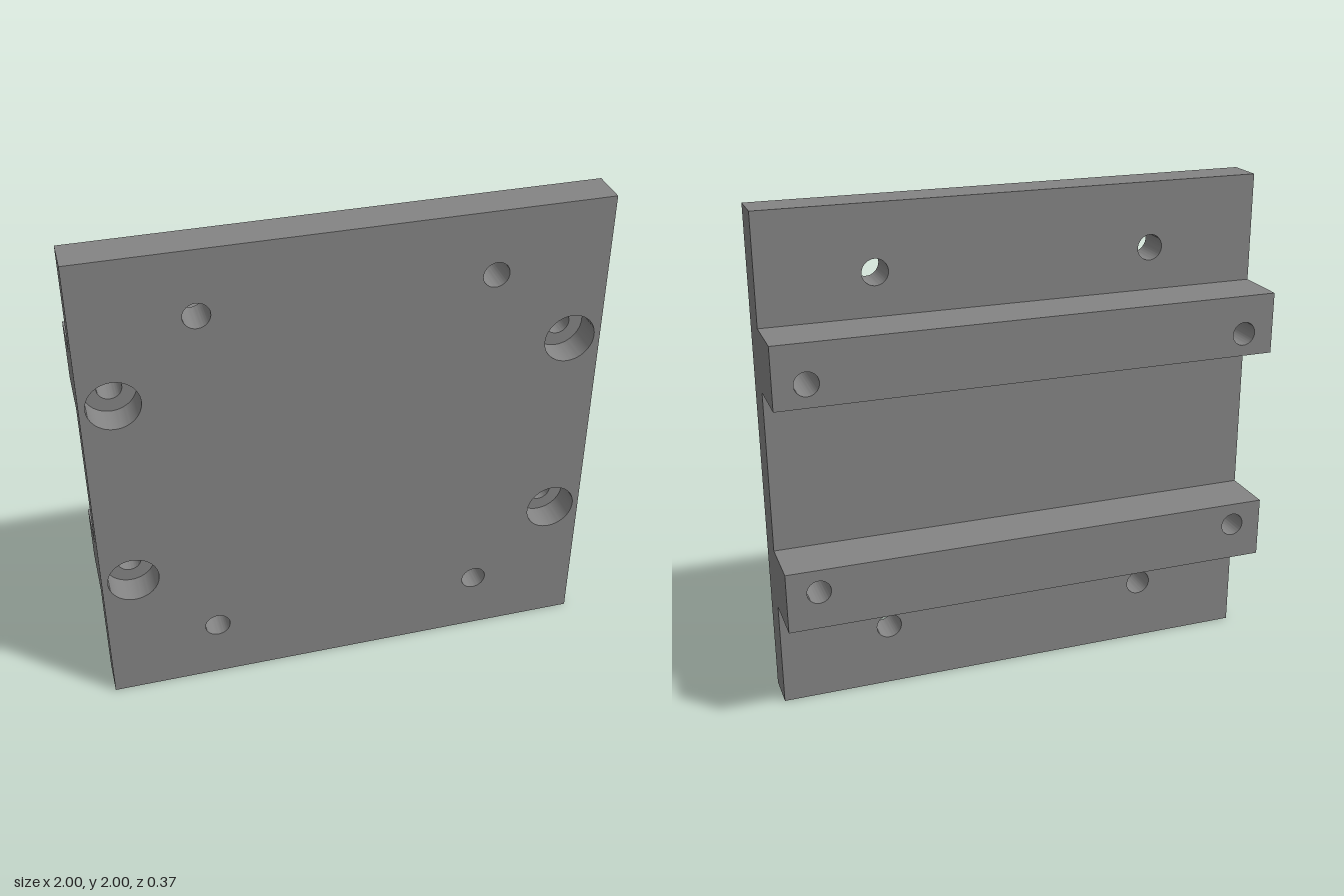
import * as THREE from 'three';
import { toCreasedNormals } from 'three/addons/utils/BufferGeometryUtils.js';

const material = new THREE.MeshStandardMaterial({ color: 0x848484 });

const PLAIN_X = 0.555, PLAIN_Y = [0.26, 1.74], PLAIN_R = 0.051;
const BOLT_X = 0.875, BOLT_Y = [0.583, 1.415], BOLT_R = 0.047, BORE_R = 0.101;
const BACK = -0.185, PLATE_BACK = 0.035, BORE_FLOOR = 0.065, FRONT = 0.185;

// Mirrored pairs of round holes at the given heights
function holePairs(x, heights, r) {
  return heights.flatMap((y) => [-x, x].map((cx) => ({ x: cx, y, r })));
}

// Full-width slab from y0 to y1 and z0 to z1, pierced by round holes
function slab(name, y0, y1, z0, z1, holes) {
  const shape = new THREE.Shape([
    new THREE.Vector2(-1, y0), new THREE.Vector2(1, y0),
    new THREE.Vector2(1, y1), new THREE.Vector2(-1, y1),
  ]);
  for (const h of holes) {
    shape.holes.push(new THREE.Path().absarc(h.x, h.y, h.r, 0, Math.PI * 2, true));
  }
  const extruded = new THREE.ExtrudeGeometry(shape, {
    depth: z1 - z0, bevelEnabled: false, curveSegments: 40,
  });
  extruded.translate(0, 0, z0);
  const mesh = new THREE.Mesh(toCreasedNormals(extruded, Math.PI / 6), material);
  mesh.name = name;
  return mesh;
}

export function createModel() {
  const model = new THREE.Group();
  model.name = 'mountingPlate';

  const plain = holePairs(PLAIN_X, PLAIN_Y, PLAIN_R);
  const bolts = holePairs(BOLT_X, BOLT_Y, BOLT_R);
  const bores = holePairs(BOLT_X, BOLT_Y, BORE_R);

  // Plate: the front layer carries the counterbores, the back layer their floors
  const plate = new THREE.Group();
  plate.name = 'plate';
  plate.add(
    slab('plateFront', 0, 2, BORE_FLOOR, FRONT, [...plain, ...bores]),
    slab('plateBack', 0, 2, PLATE_BACK, BORE_FLOOR, [...plain, ...bolts]),
  );
  model.add(plate);

  // Two rails across the back, drilled through at both ends
  const rails = [['lowerRail', 0.43, 0.675], ['upperRail', 1.324, 1.57]];
  rails.forEach(([name, y0, y1]) => {
    const holes = bolts.filter((h) => h.y > y0 && h.y < y1);
    model.add(slab(name, y0, y1, BACK, PLATE_BACK, holes));
  });

  return model;
}
